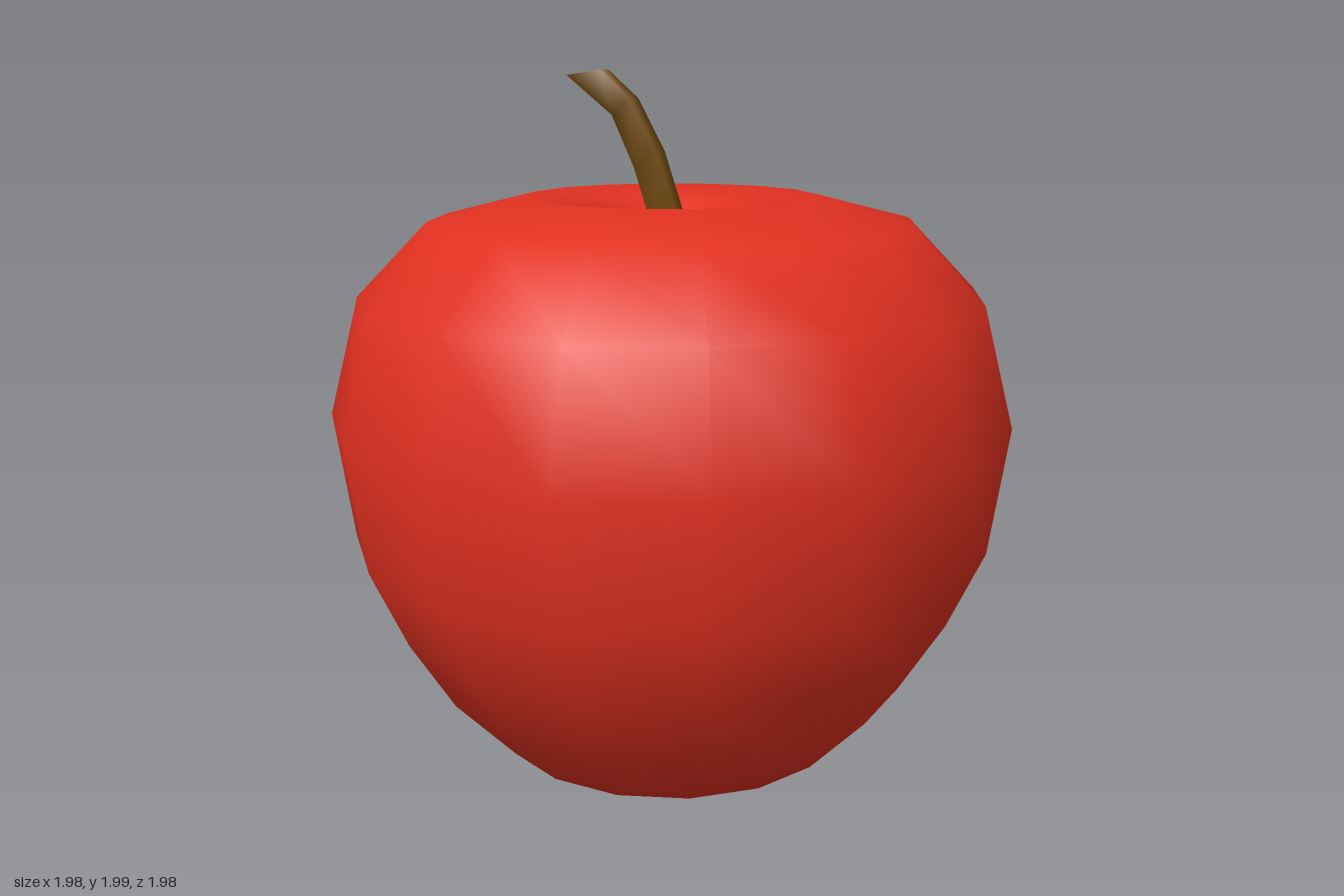
import * as THREE from 'three';
import { mergeVertices } from 'three/addons/utils/BufferGeometryUtils.js';

// Fruit body: 16-sided lathe with a dimple at each end
function createBody() {
  const profile = [
    [0, 0.2], [0.15, 0.06], [0.31, 0.01], [0.52, 0.03], [0.7, 0.22], [0.83, 0.43],
    [0.935, 0.66], [0.988, 1.03], [0.9, 1.37], [0.697, 1.58], [0.42, 1.65],
    [0.18, 1.61], [0, 1.4],
  ].map(([r, y]) => new THREE.Vector2(r, y));
  const body = new THREE.Mesh(
    new THREE.LatheGeometry(profile, 16),
    new THREE.MeshStandardMaterial({ color: 0xe03020 }),
  );
  body.name = 'fruitBody';
  return body;
}

// Stem: square bar bent along cross-sections [leftX, leftY, rightX, rightY]
function createStem() {
  const sections = [
    [-0.04, 1.36, 0.04, 1.36],
    [-0.043, 1.55, 0.035, 1.57],
    [-0.1, 1.73, -0.03, 1.77],
    [-0.165, 1.875, -0.11, 1.92],
    [-0.3, 1.985, -0.2, 2.0],
  ];
  const n = sections.length - 1;
  let geometry = new THREE.BoxGeometry(1, 1, 1, 1, n, 1);
  const pos = geometry.attributes.position;
  for (let i = 0; i < pos.count; i++) {
    const s = sections[Math.round((pos.getY(i) + 0.5) * n)];
    const k = pos.getX(i) > 0 ? 2 : 0;
    pos.setXYZ(i, s[k], s[k + 1], pos.getZ(i) * 0.076);
  }
  // Share corners so the shading runs smoothly around the bar
  geometry.deleteAttribute('normal');
  geometry.deleteAttribute('uv');
  geometry = mergeVertices(geometry);
  geometry.computeVertexNormals();
  const stem = new THREE.Mesh(geometry, new THREE.MeshStandardMaterial({ color: 0x704a10 }));
  stem.name = 'stem';
  return stem;
}

export function createModel() {
  const group = new THREE.Group();
  group.name = 'apple';
  group.add(createBody(), createStem());
  return group;
}
